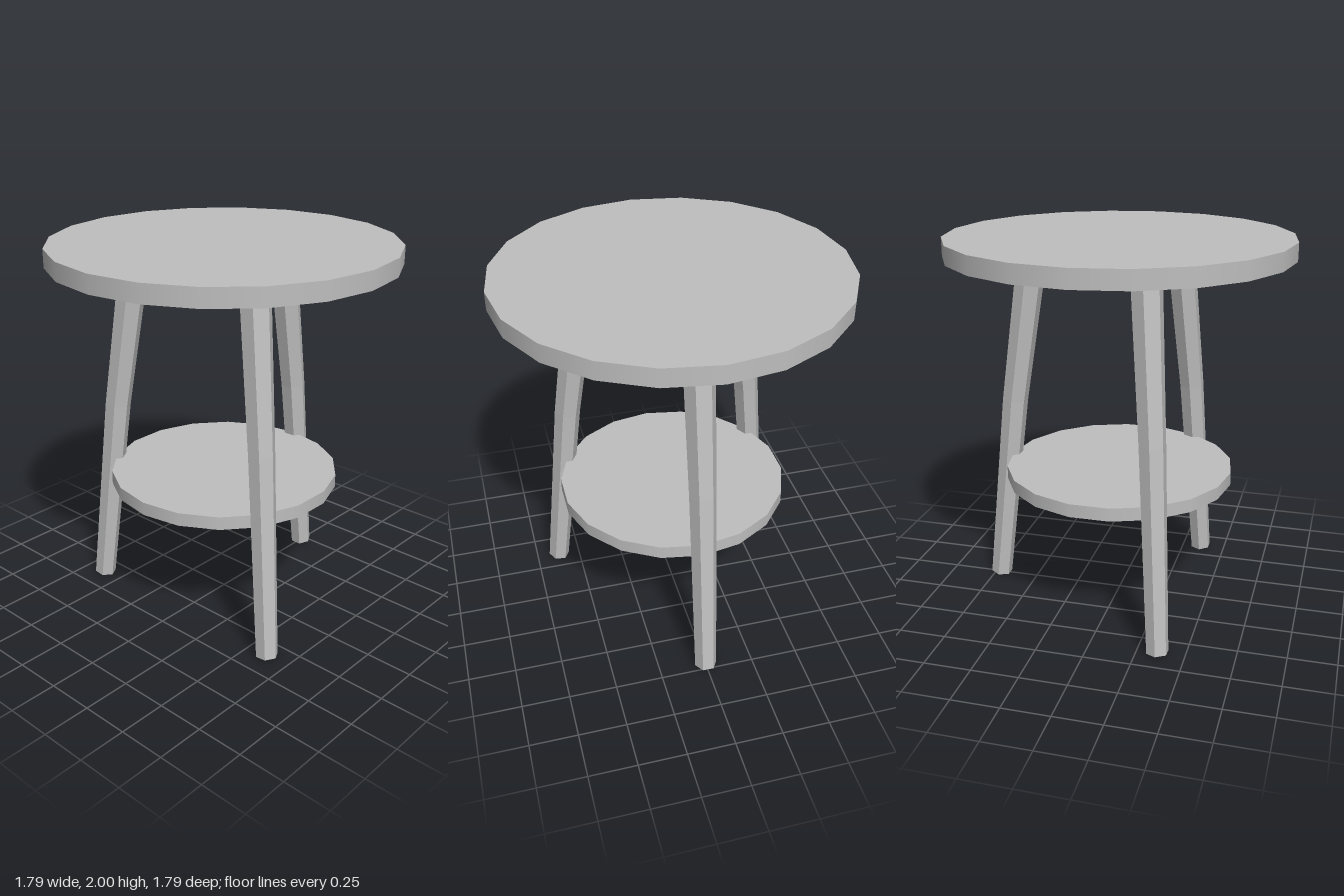
import * as THREE from 'three';

export function createModel() {
  const model = new THREE.Group();
  model.name = 'stool';
  const grey = new THREE.MeshStandardMaterial({ color: 0xbfbfbf });
  grey.name = 'plain grey';

  // Round boards: seat and lower shelf
  const addDisc = (name, radius, bottom, top, sides) => {
    const disc = new THREE.Mesh(new THREE.CylinderGeometry(radius, radius, top - bottom, sides), grey);
    disc.name = name;
    disc.position.y = (bottom + top) / 2;
    model.add(disc);
  };
  addDisc('seat', 0.896, 1.905, 2, 20);
  addDisc('shelf', 0.61, 0.695, 0.765, 18);

  // Tapered six-sided leg, slightly bent, splaying towards +z
  const rings = [
    { y: 0.006, z: 0.716, r: 0.059, slope: 0.115 },
    { y: 1.08, z: 0.592, r: 0.07, slope: 0.132 },
    { y: 1.95, z: 0.46, r: 0.081, slope: 0.15 },
  ];
  let legGeometry = new THREE.CylinderGeometry(1, 1, 2, 6, 2, false, Math.PI / 6);
  const pos = legGeometry.attributes.position;
  for (let i = 0; i < pos.count; i++) {
    const ring = rings[Math.round(pos.getY(i)) + 1];
    const across = pos.getX(i) * ring.r;
    const out = (pos.getZ(i) * ring.r) / Math.hypot(1, ring.slope);
    pos.setXYZ(i, across, ring.y + out * ring.slope, ring.z + out);
  }
  legGeometry = legGeometry.toNonIndexed();
  legGeometry.computeVertexNormals();

  // Three legs evenly spaced, one at the back
  const legs = { leftLeg: Math.PI / 3, backLeg: Math.PI, rightLeg: -Math.PI / 3 };
  for (const [name, angle] of Object.entries(legs)) {
    const leg = new THREE.Mesh(legGeometry, grey);
    leg.name = name;
    leg.rotation.y = angle;
    model.add(leg);
  }
  return model;
}
